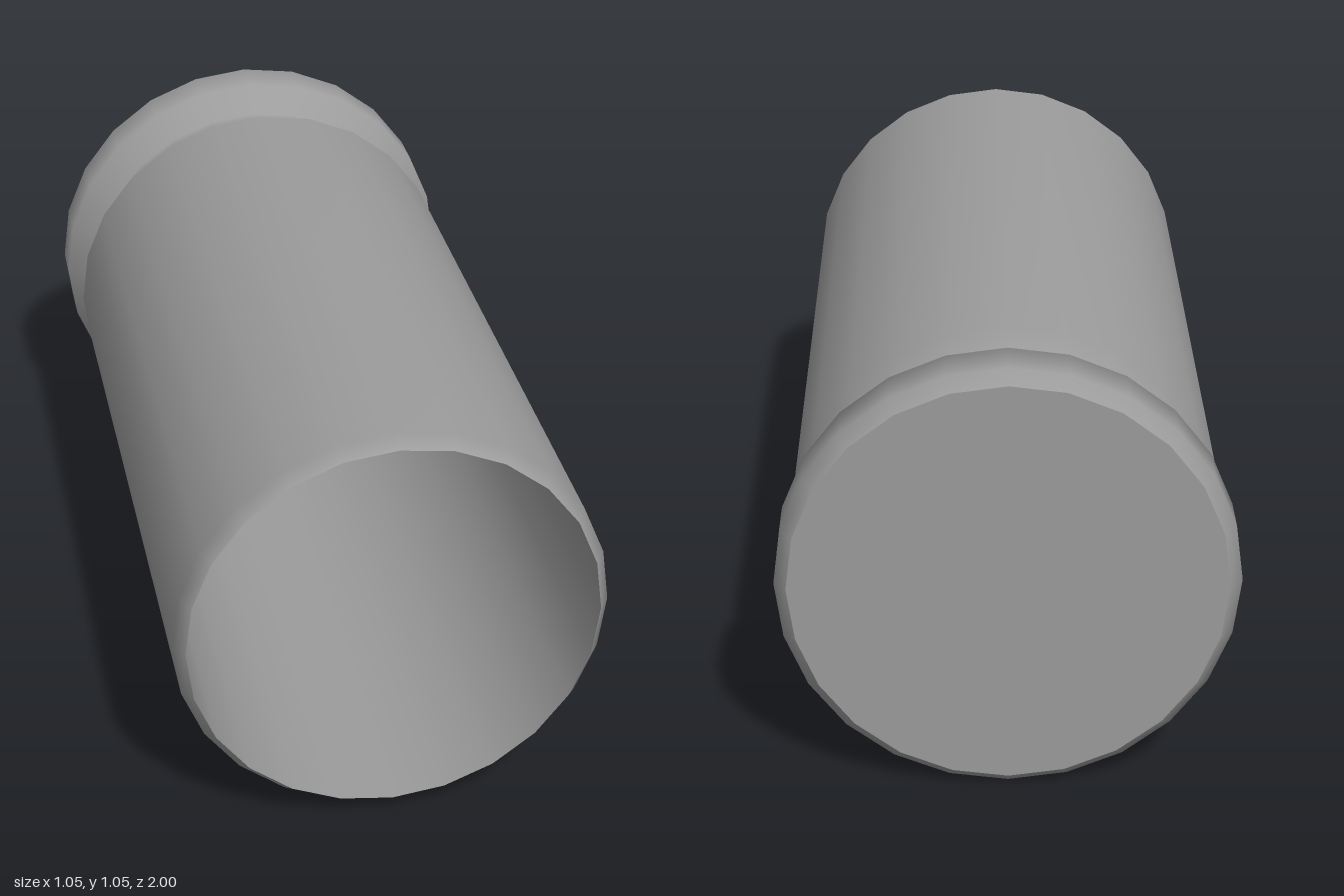
import * as THREE from 'three';

const SIDES = 24;
const RIM_RADIUS = 0.526;

export function createModel() {
  const model = new THREE.Group();
  model.name = 'cartridgeCase';
  const material = new THREE.MeshStandardMaterial({ color: 0x9c9c9c, side: THREE.DoubleSide });

  // Each section is turned about the long axis; profile points are [radius, z].
  // Shading is smooth within a section and sharp between sections.
  const turn = (name, profile) => {
    const points = profile.map(([r, z]) => new THREE.Vector2(r, z));
    const geometry = new THREE.LatheGeometry(points, SIDES);
    geometry.rotateX(Math.PI / 2);
    const mesh = new THREE.Mesh(geometry, material);
    mesh.name = name;
    mesh.position.y = RIM_RADIUS;
    model.add(mesh);
  };

  // Flat rear end
  turn('base', [[0, -1], [0.497, -1]]);

  // Outer shell: flange, groove, shoulder, long body and chamfered mouth
  turn('shell', [
    [0.497, -1], [RIM_RADIUS, -0.97], [RIM_RADIUS, -0.862],
    [0.447, -0.845], [0.447, -0.775], [0.505, -0.695],
    [0.505, 0.965], [0.48, 1],
  ]);

  // Hollow inside
  turn('innerWall', [[0.48, 1], [0.48, -0.7]]);
  turn('innerFloor', [[0.48, -0.7], [0, -0.7]]);

  return model;
}
